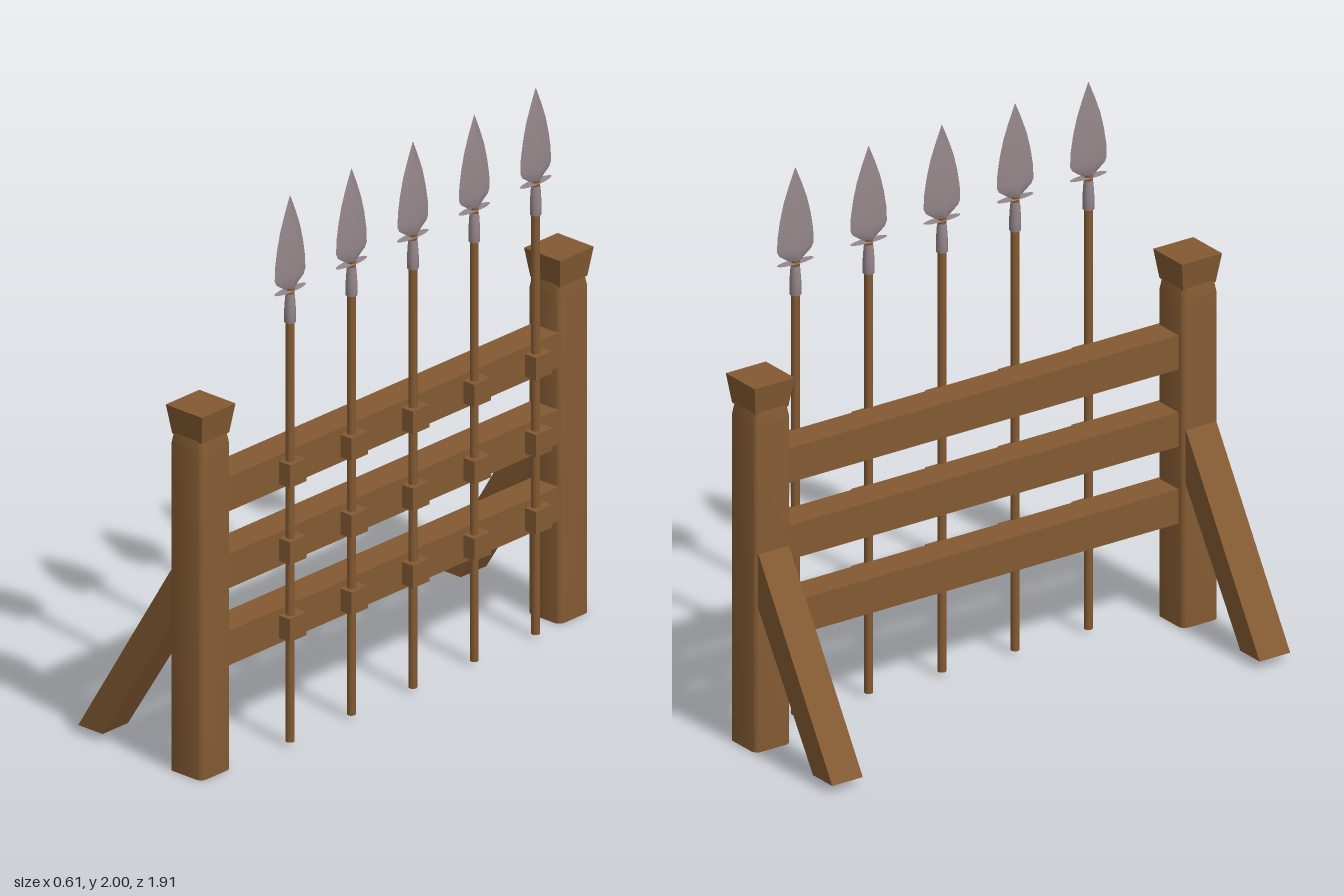
import * as THREE from 'three';
import { toCreasedNormals } from 'three/addons/utils/BufferGeometryUtils.js';

const wood = new THREE.MeshStandardMaterial({ color: 0x835a32 });
const metal = new THREE.MeshStandardMaterial({ color: 0x94868a });
const metalThin = new THREE.MeshStandardMaterial({ color: 0x94868a, side: THREE.DoubleSide });

function add(parent, name, geometry, material, x = 0, y = 0, z = 0) {
  const mesh = new THREE.Mesh(geometry, material);
  mesh.name = name;
  mesh.position.set(x, y, z);
  parent.add(mesh);
  return mesh;
}

// Square post with rounded corners, narrowing to a neck at the top
function postGeometry() {
  const h = 0.075, r = 0.025, s = new THREE.Shape();
  [[1, 1, 0], [-1, 1, 1], [-1, -1, 2], [1, -1, 3]].forEach(([sx, sy, q]) =>
    s.absarc(sx * (h - r), sy * (h - r), r, q * Math.PI / 2, (q + 1) * Math.PI / 2, false));
  s.closePath();
  const g = new THREE.ExtrudeGeometry(s, { depth: 1.23, steps: 2, bevelEnabled: false, curveSegments: 4 });
  g.rotateX(-Math.PI / 2);
  const p = g.attributes.position;
  for (let i = 0; i < p.count; i++) {
    const y = p.getY(i);
    if (y > 1.2) p.setXYZ(i, p.getX(i) * 0.9, y, p.getZ(i) * 0.9);
    else if (y > 0.1) p.setY(i, 1.185);
  }
  return toCreasedNormals(g, 0.5);
}

// Flaring square cap
function capGeometry() {
  const g = new THREE.CylinderGeometry(0.082 * Math.SQRT2, 0.067 * Math.SQRT2, 0.105, 4).toNonIndexed();
  g.rotateY(Math.PI / 4);
  g.computeVertexNormals();
  return g;
}

// Slanted brace, cut level at the foot
function braceGeometry() {
  const s = new THREE.Shape([[-0.31, 0.03], [-0.2, 0.03], [0.15, 0.585], [0.15, 0.72], [0.11, 0.72]]
    .map(([x, y]) => new THREE.Vector2(x, y)));
  return new THREE.ExtrudeGeometry(s, { depth: 0.125, bevelEnabled: false }).translate(0, 0, -0.0625);
}

// Leaf-shaped blade with a diamond section: rows of [y, half width, half thickness]
function bladeGeometry() {
  const rows = [[1.655, 0.012, 0.012], [1.675, 0.042, 0.015], [1.692, 0.066, 0.017], [1.71, 0.075, 0.018],
    [1.76, 0.073, 0.018], [1.82, 0.063, 0.017], [1.88, 0.048, 0.014], [1.94, 0.026, 0.009], [2, 0.0005, 0.0005]];
  const pos = [], idx = [];
  rows.forEach(([y, w, t]) => pos.push(t, y, 0, 0, y, -w, -t, y, 0, 0, y, w));
  for (let i = 0; i < rows.length - 1; i++) {
    for (let k = 0; k < 4; k++) {
      const a = i * 4 + k, b = i * 4 + (k + 1) % 4;
      idx.push(a, b, b + 4, a, b + 4, a + 4);
    }
  }
  idx.push(0, 2, 1, 0, 3, 2);
  const g = new THREE.BufferGeometry();
  g.setAttribute('position', new THREE.Float32BufferAttribute(pos, 3));
  g.setIndex(idx);
  return toCreasedNormals(g, 0.6);
}

export function createModel() {
  const model = new THREE.Group();
  model.name = 'spearRack';
  const post = postGeometry(), cap = capGeometry(), brace = braceGeometry();

  // End posts with caps and rear braces
  for (const side of [1, -1]) {
    const end = new THREE.Group();
    end.name = side > 0 ? 'frontPost' : 'backPost';
    end.position.z = side * 0.875;
    add(end, 'post', post, wood, 0.185);
    add(end, 'postCap', cap, wood, 0.187, 1.275);
    add(end, 'brace', brace, wood);
    model.add(end);
  }

  // Horizontal rails
  const railHeights = [0.437, 0.717, 0.997];
  const rail = new THREE.BoxGeometry(0.117, 0.125, 1.62);
  railHeights.forEach(y => add(model, 'rail', rail, wood, 0.194, y, 0));

  // Spears, each held by a block on every rail
  const shaft = new THREE.CylinderGeometry(0.015, 0.015, 1.65, 10);
  const socket = new THREE.LatheGeometry([[0.014, 1.54], [0.02, 1.54], [0.02, 1.585], [0.017, 1.63], [0.012, 1.665]]
    .map(([r, y]) => new THREE.Vector2(r, y)), 10);
  const blade = bladeGeometry();
  const guard = new THREE.CircleGeometry(1, 16).rotateX(-Math.PI / 2).scale(0.02, 1, 0.075);
  const clip = new THREE.BoxGeometry(0.055, 0.082, 0.08);
  for (let i = 0; i < 5; i++) {
    const spear = new THREE.Group();
    spear.name = 'spear';
    spear.position.set(0.272, 0, 0.53 - i * 0.3);
    add(spear, 'shaft', shaft, wood, 0, 0.84, 0);
    add(spear, 'socket', socket, metalThin);
    add(spear, 'blade', blade, metal);
    add(spear, 'guard', guard, metalThin, 0, 1.657, 0);
    railHeights.forEach(y => add(spear, 'clip', clip, wood, 0.003, y - 0.002, -0.008));
    model.add(spear);
  }
  return model;
}
